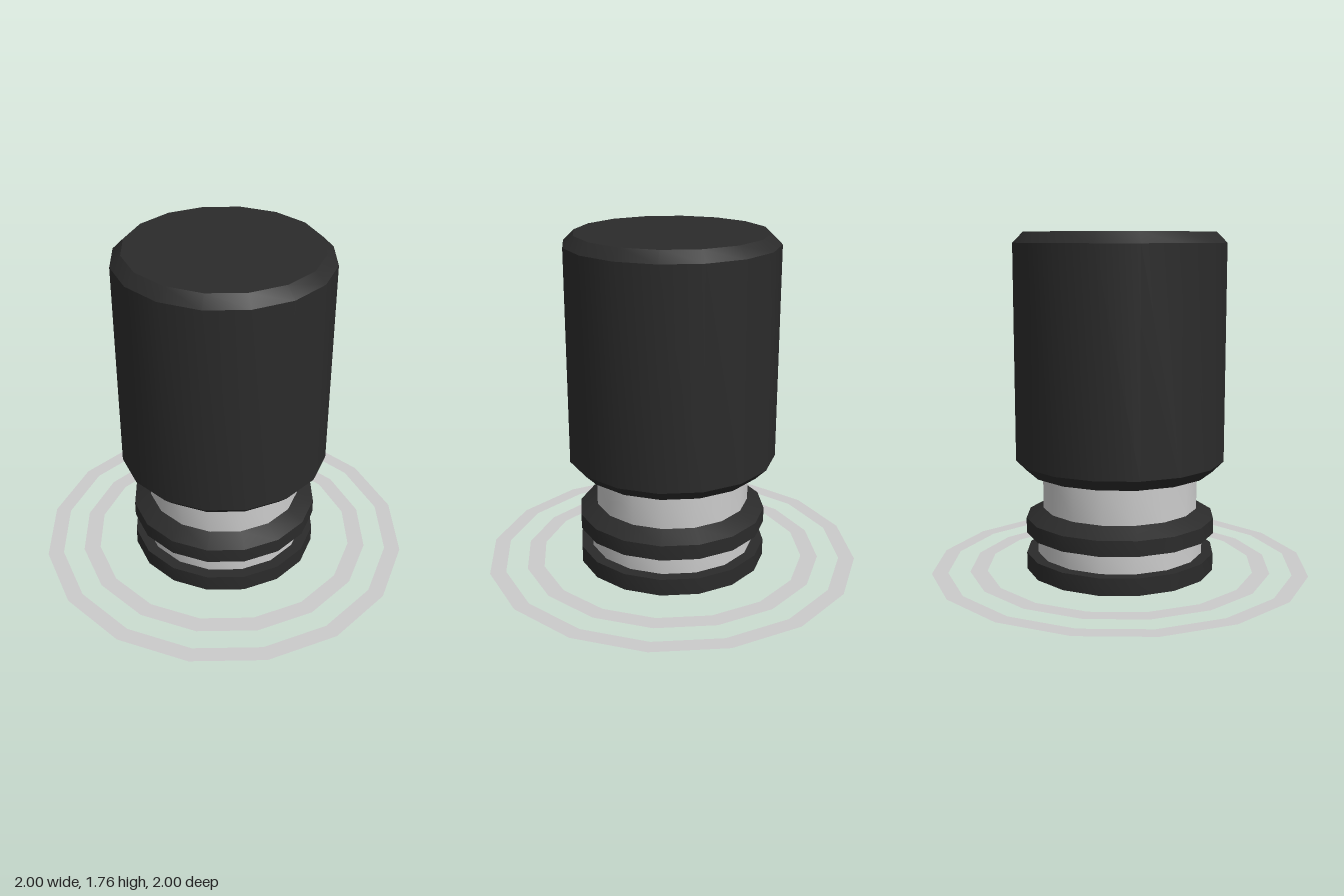
import * as THREE from 'three';
import { toCreasedNormals } from 'three/addons/utils/BufferGeometryUtils.js';

const SIDES = 16;

const dark = new THREE.MeshStandardMaterial({ color: 0x2b2b2b, side: THREE.DoubleSide });
const grey = new THREE.MeshStandardMaterial({ color: 0xcccccc, side: THREE.DoubleSide });

// Turned open shell from a [radius, height] profile, listed bottom to top
function turned(name, profile, material) {
  const points = profile.map(([r, y]) => new THREE.Vector2(r, y));
  const geometry = toCreasedNormals(new THREE.LatheGeometry(points, SIDES), 0.6);
  const mesh = new THREE.Mesh(geometry, material);
  mesh.name = name;
  return mesh;
}

// Thin flat ring lying on the ground
function flatRing(name, inner, outer) {
  const geometry = new THREE.RingGeometry(inner, outer, SIDES).rotateX(-Math.PI / 2);
  const mesh = new THREE.Mesh(geometry, grey);
  mesh.name = name;
  return mesh;
}

export function createModel() {
  const model = new THREE.Group();
  model.name = 'cylinderWithGroundRings';

  model.add(
    // Foot band with its upper ledge, open underneath
    turned('baseBand', [[0.5, 0], [0.5, 0.09], [0.44, 0.09]], dark),
    turned('lowerNeck', [[0.44, 0.09], [0.44, 0.2]], grey),
    // Collar with a sloping shoulder
    turned('collar', [[0.44, 0.2], [0.5, 0.2], [0.5, 0.28], [0.41, 0.33]], dark),
    turned('upperNeck', [[0.41, 0.33], [0.41, 0.53]], grey),
    // Main body, chamfered at both ends
    turned('body', [[0.41, 0.53], [0.49, 0.53], [0.55, 0.59], [0.55, 1.71], [0.495, 1.765], [0, 1.765]], dark),
    // Rings around the foot
    flatRing('innerRing', 0.71, 0.8),
    flatRing('outerRing', 0.915, 1)
  );
  return model;
}
